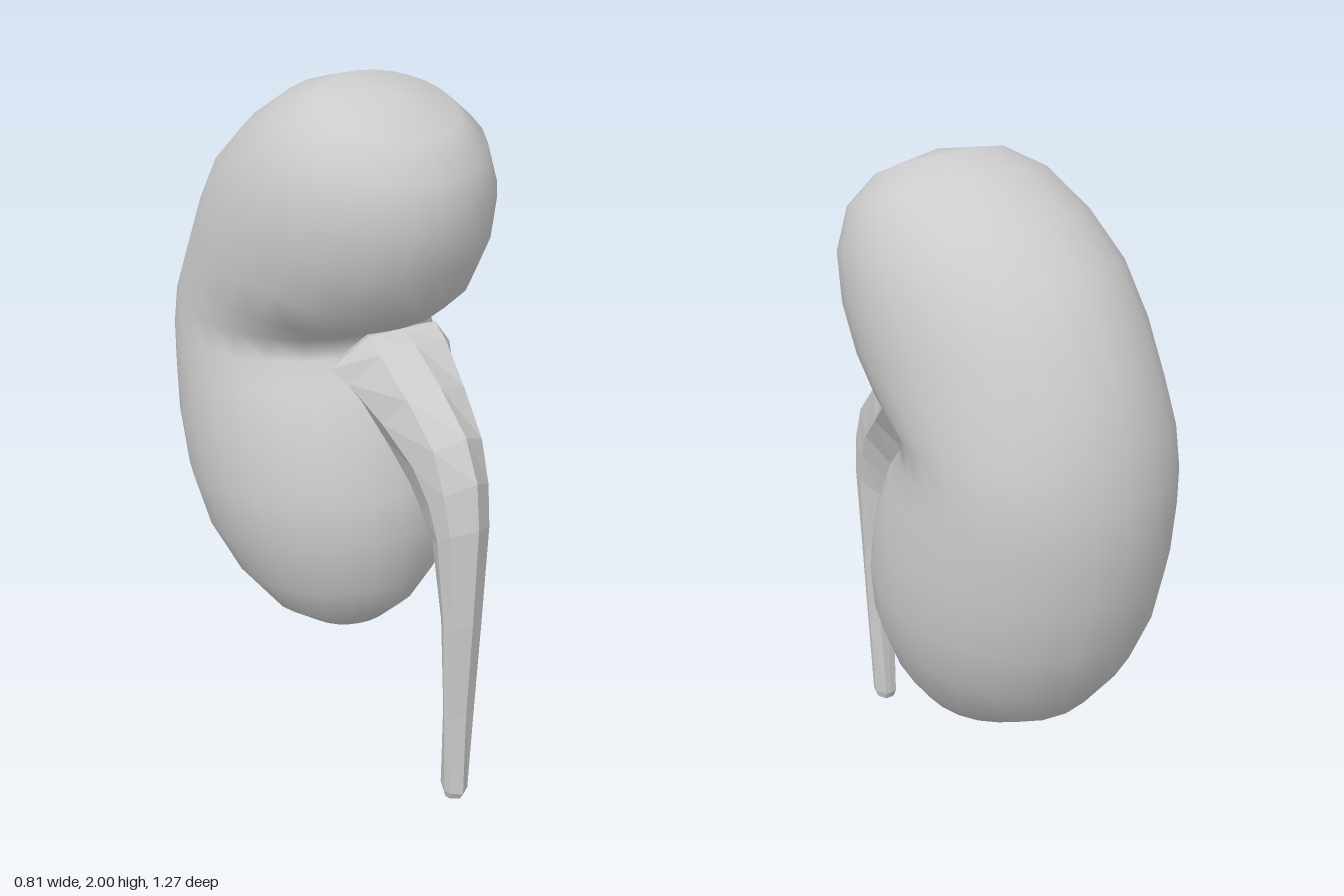
import * as THREE from 'three';

// Skin a closed surface over rings of points, ending in a point at both ends.
// Rings run upward; points in a ring run from the front towards +x.
function loft(rings, start, end) {
  const n = rings[0].length;
  const pos = [start, ...rings.flat(), end].flat();
  const idx = [];
  const last = rings.length * n + 1;
  for (let j = 0; j < n; j++) {
    const k = (j + 1) % n;
    idx.push(0, 1 + k, 1 + j);
    for (let i = 0; i < rings.length - 1; i++) {
      const a = 1 + i * n + j, b = 1 + i * n + k;
      idx.push(a, b, a + n, b, b + n, a + n);
    }
    idx.push(last - n + j, last - n + k, last);
  }
  const g = new THREE.BufferGeometry();
  g.setAttribute('position', new THREE.Float32BufferAttribute(pos, 3));
  g.setIndex(idx);
  g.computeVertexNormals();
  return g;
}

// Place a unit outline [x, depth] between front point (fz, fy) and back point (bz, by).
function ring([fz, fy, bz, by, w], outline) {
  return outline.map(([x, d]) => [
    x * w,
    (fy + by) / 2 + d * (fy - by) / 2,
    (fz + bz) / 2 + d * (fz - bz) / 2,
  ]);
}

// Bean-shaped body: front z, y, back z, y, half width; fanned around the notch
const BODY = [
  [0.12, 0.35, -0.12, 0.335, 0.13],
  [0.20, 0.43, -0.25, 0.36, 0.22],
  [0.27, 0.55, -0.40, 0.45, 0.30],
  [0.305, 0.72, -0.51, 0.59, 0.37],
  [0.295, 0.86, -0.58, 0.75, 0.40],
  [0.25, 1.02, -0.62, 0.92, 0.405],
  [0.18, 1.16, -0.635, 1.08, 0.393],
  [0.11, 1.22, -0.63, 1.20, 0.385],
  [0.12, 1.28, -0.61, 1.33, 0.38],
  [0.25, 1.335, -0.57, 1.46, 0.38],
  [0.35, 1.41, -0.50, 1.62, 0.378],
  [0.42, 1.53, -0.40, 1.76, 0.37],
  [0.453, 1.66, -0.26, 1.87, 0.34],
  [0.43, 1.78, -0.10, 1.96, 0.28],
  [0.36, 1.87, 0.04, 1.995, 0.19],
];

// Drooping tube, from the notch down to its tip
const TUBE = [
  [0.18, 1.31, 0.10, 1.20, 0.10],
  [0.27, 1.345, 0.17, 1.17, 0.195],
  [0.33, 1.32, 0.21, 1.13, 0.17],
  [0.45, 1.24, 0.30, 1.04, 0.13],
  [0.57, 1.14, 0.39, 0.95, 0.10],
  [0.625, 1.03, 0.44, 0.88, 0.085],
  [0.64, 0.90, 0.485, 0.81, 0.075],
  [0.63, 0.60, 0.525, 0.58, 0.058],
  [0.615, 0.30, 0.54, 0.30, 0.048],
  [0.615, 0.03, 0.53, 0.03, 0.036],
  [0.60, 0.005, 0.54, 0.005, 0.028],
];

// Ridged eight-sided tube outline: flat-topped at the root (t = 0), pointed further down (t = 1)
function tubeOutline(t) {
  const sx = 0.55 + 0.3 * t, sd = 1 - 0.5 * t;
  const half = [[sx, sd], [1, -0.05], [0.55, -0.95]];
  const mirror = half.map(([x, d]) => [-x, d]).reverse();
  return [[0, 1], ...half, [0, -1], ...mirror];
}

export function createModel() {
  const group = new THREE.Group();

  const oval = Array.from({ length: 24 }, (_, i) => {
    const a = (i / 24) * Math.PI * 2;
    return [Math.sin(a), Math.cos(a)];
  });
  const body = new THREE.Mesh(
    loft(BODY.map((s) => ring(s, oval)), [0, 0.33, 0], [0, 1.965, 0.21]),
    new THREE.MeshStandardMaterial({ color: 0xcccccc })
  );
  body.name = 'kidneyBody';

  const rings = TUBE.map((s, i) => ring(s, tubeOutline(Math.min(1, Math.max(0, (i - 1) / 4)))));
  const tube = new THREE.Mesh(
    loft(rings.reverse(), [0, 0, 0.57], [0, 1.25, 0.12]),
    new THREE.MeshStandardMaterial({ color: 0xcccccc, flatShading: true })
  );
  tube.name = 'ureter';

  group.add(body, tube);
  return group;
}
